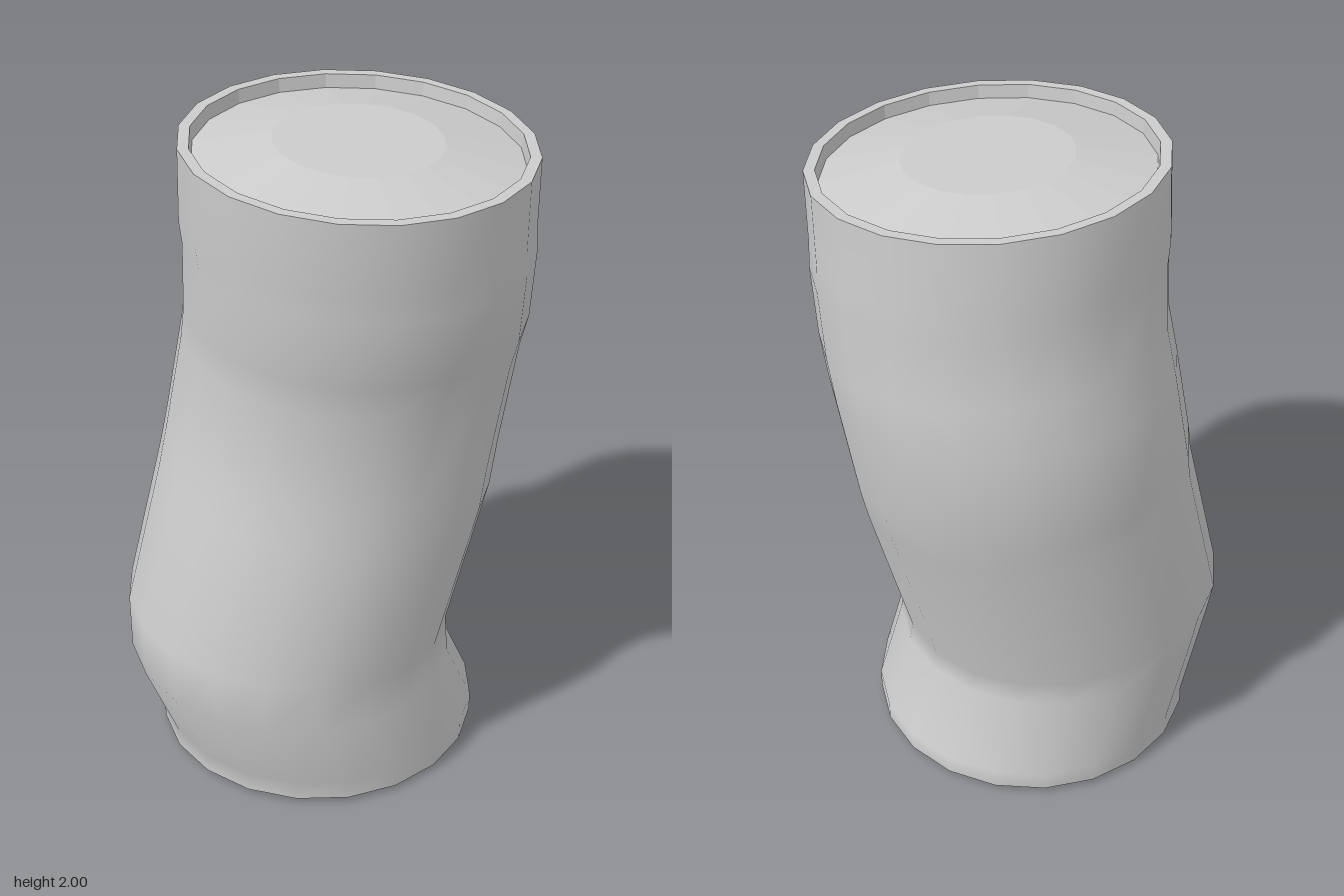
import * as THREE from 'three';

const SIDES = 20;

// Ring = [centre x, centre y, centre z, radius, rise per unit x, rise per unit z]
function loft(name, rings, flat) {
  const pos = [], index = [];
  for (const [cx, cy, cz, r, sx, sz] of rings) {
    for (let j = 0; j < SIDES; j++) {
      const a = (j / SIDES) * Math.PI * 2;
      const dx = r * Math.cos(a), dz = r * Math.sin(a);
      pos.push(cx + dx, cy + dx * sx + dz * sz, cz + dz);
    }
  }
  for (let i = 0; i < rings.length - 1; i++) {
    for (let j = 0; j < SIDES; j++) {
      const k = (j + 1) % SIDES;
      const a = i * SIDES + j, b = i * SIDES + k, c = a + SIDES, d = b + SIDES;
      index.push(a, c, b, b, c, d);
    }
  }
  let geo = new THREE.BufferGeometry();
  geo.setAttribute('position', new THREE.Float32BufferAttribute(pos, 3));
  geo.setIndex(index);
  if (flat) geo = geo.toNonIndexed();
  geo.computeVertexNormals();
  const material = new THREE.MeshStandardMaterial({ color: 0xcccccc, flatShading: flat });
  const mesh = new THREE.Mesh(geo, material);
  mesh.name = name;
  return mesh;
}

export function createModel() {
  const group = new THREE.Group();
  group.name = 'bentTube';

  // Outer wall: stacked rings that shift sideways along the bends
  const wall = [
    [-0.015, 0.015, 0, 0.5, 0, 0],
    [-0.015, 0.075, 0, 0.5, 0, 0],
    [-0.11, 0.32, 0.04, 0.5, -0.05, 0],
    [-0.108, 0.445, 0, 0.5, -0.1, -0.01],
    [0.01, 0.92, -0.007, 0.503, -0.08, -0.04],
    [0.04, 1.04, -0.042, 0.503, -0.06, -0.04],
    [0.092, 1.35, -0.04, 0.5, -0.03, -0.06],
    [0.097, 1.47, 0.015, 0.5, -0.03, -0.06],
    [0.102, 1.68, 0.03, 0.502, -0.03, -0.06],
    [0.095, 1.75, 0.035, 0.503, -0.03, -0.06],
    [0.094, 1.966, 0.05, 0.5, -0.03, -0.06],
  ];
  group.add(loft('tubeWall', wall, false));

  // Each end: flat rim, short inner lip and a shallow domed cap
  const addEnd = (prefix, [x, y, z, r, sx, sz], dir, bulge) => {
    const ring = (radius, rise) => [x, y + dir * rise, z, radius, sx, sz];
    const parts = {
      Rim: [ring(r, 0), ring(0.468, 0)],
      Lip: [ring(0.468, 0), ring(0.463, -0.04)],
      Cap: [ring(0.463, -0.04), ring(0.24, bulge), ring(0, bulge)],
    };
    for (const [part, rings] of Object.entries(parts)) {
      group.add(loft(prefix + part, dir > 0 ? rings : rings.reverse(), true));
    }
  };
  addEnd('bottom', wall[0], -1, 0.015);
  addEnd('top', wall[wall.length - 1], 1, 0.006);

  return group;
}
